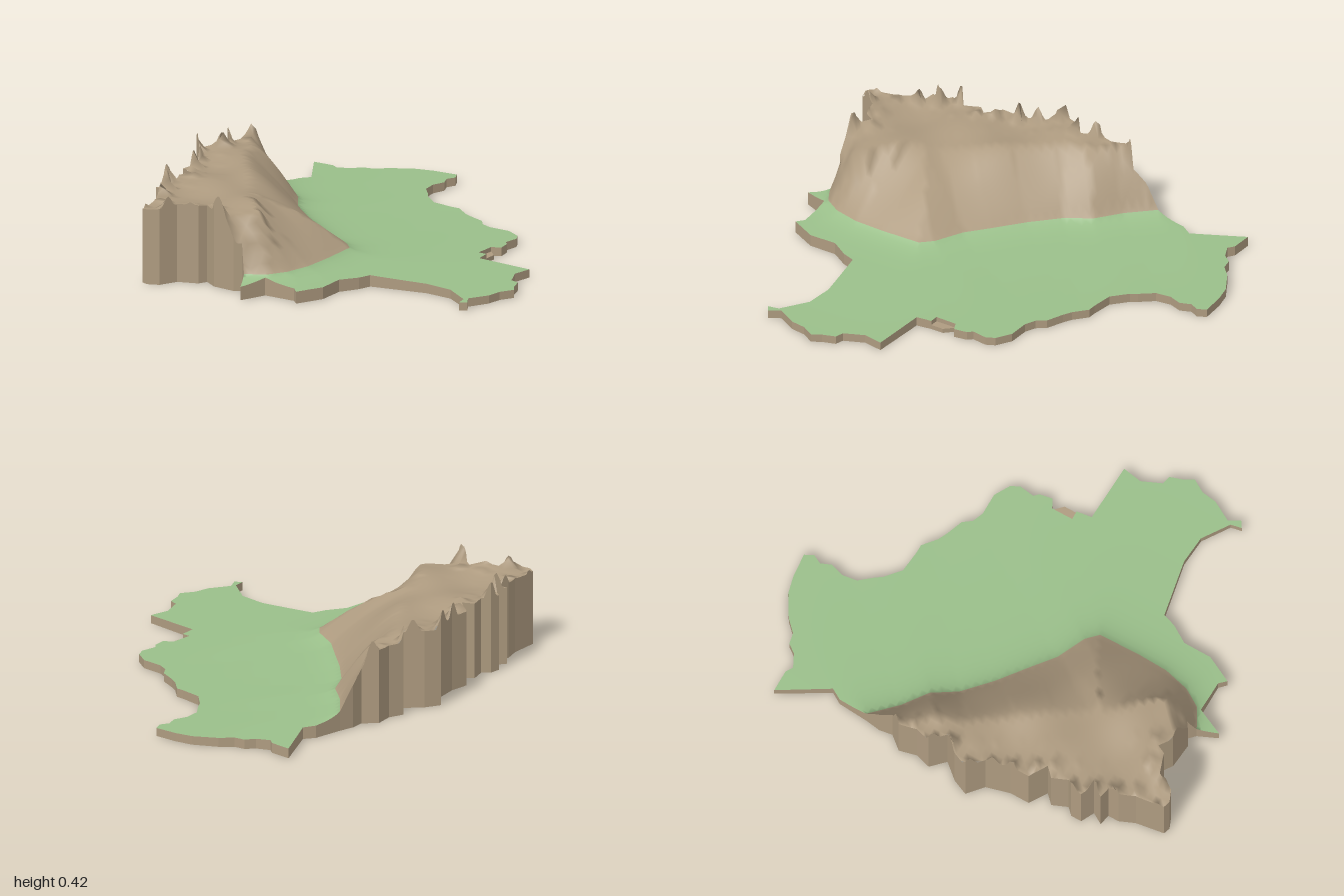
import * as THREE from 'three';

// Outline on the ground as x, z pairs, clockwise from above
const pairs = (a) => Array.from({ length: a.length / 2 }, (_, i) => [a[2 * i], a[2 * i + 1]]);
const lowlandEdge = pairs([
  -0.79, -0.39, -0.78, -0.53, -0.75, -0.58, -0.88, -0.80, -0.78, -0.80, -0.75, -0.78, -0.69, -0.81,
  -0.66, -0.85, -0.61, -0.86, -0.56, -0.91, -0.46, -0.97, -0.38, -0.99, -0.27, -1.0, -0.25, -0.96,
  -0.27, -0.92, -0.25, -0.87, -0.27, -0.81, -0.26, -0.74, -0.21, -0.68, -0.19, -0.65, -0.12, -0.59,
  -0.02, -0.58, 0.02, -0.58, 0.08, -0.53, 0.12, -0.51, 0.20, -0.48, 0.23, -0.44, 0.28, -0.42,
  0.38, -0.42, 0.45, -0.38, 0.47, -0.34, 0.46, -0.27, 0.48, -0.25, 0.49, -0.19, 0.45, -0.17,
  0.45, -0.07, 0.49, -0.07, 0.50, 0, 0.765, 0.01, 0.75, 0.10, 0.79, 0.19, 0.83, 0.20,
  0.85, 0.26, 0.875, 0.30, 0.84, 0.36, 0.83, 0.43, 0.78, 0.52, 0.81, 0.57, 0.78, 0.59,
  0.77, 0.54, 0.65, 0.46, 0.52, 0.45, 0.26, 0.50, 0.24, 0.56, 0.19, 0.64, 0.19, 0.77,
  0.13, 0.89, 0.10, 0.86, -0.05, 0.86, -0.10, 0.98, -0.14, 0.89]);
const highlandEdge = pairs([
  -0.14, 0.89, -0.17, 0.86, -0.20, 0.88, -0.31, 0.87, -0.37, 0.83, -0.39, 0.87, -0.48, 0.90,
  -0.52, 0.98, -0.57, 1.0, -0.60, 0.99, -0.62, 0.86, -0.65, 0.79, -0.65, 0.74, -0.70, 0.73,
  -0.67, 0.68, -0.73, 0.65, -0.73, 0.60, -0.70, 0.57, -0.73, 0.50, -0.69, 0.46, -0.77, 0.41,
  -0.77, 0.32, -0.80, 0.21, -0.87, 0.15, -0.84, 0.08, -0.78, 0.01, -0.84, -0.05, -0.82, -0.12,
  -0.84, -0.20, -0.79, -0.26, -0.80, -0.32, -0.79, -0.39]);

// Foot of the mountains: x, z and the width of the slope above it
const foot = [
  [-0.79, -0.39, 0.16], [-0.68, -0.28, 0.17], [-0.57, -0.20, 0.2], [-0.50, -0.09, 0.23],
  [-0.38, 0.02, 0.27], [-0.25, 0.12, 0.32], [-0.15, 0.20, 0.36], [-0.02, 0.26, 0.4],
  [0.03, 0.31, 0.4], [0.035, 0.50, 0.39], [0.03, 0.64, 0.34], [0, 0.76, 0.25],
  [-0.05, 0.84, 0.17], [-0.10, 0.87, 0.13], [-0.14, 0.89, 0.12]];
const highSide = [...foot, [-0.14, 3], [-3, 3], [-3, -0.39]];

// Distance from a point to a path, with the interpolated third value
function nearest(path, x, z) {
  let best = [Infinity, 0];
  for (let i = 0; i + 1 < path.length; i++) {
    const [ax, az, aw = 0] = path[i], [bx, bz, bw = 0] = path[i + 1];
    const dx = bx - ax, dz = bz - az;
    const t = THREE.MathUtils.clamp(((x - ax) * dx + (z - az) * dz) / (dx * dx + dz * dz), 0, 1);
    const d = Math.hypot(x - ax - t * dx, z - az - t * dz);
    if (d < best[0]) best = [d, aw + t * (bw - aw)];
  }
  return best;
}

function inside(poly, x, z) {
  let odd = false;
  poly.forEach(([ax, az], i) => {
    const [bx, bz] = poly[(i + 1) % poly.length];
    if ((az > z) !== (bz > z) && x < ax + (z - az) / (bz - az) * (bx - ax)) odd = !odd;
  });
  return odd;
}

// Land height: flat plain, slope, rolling plateau and a jagged western rim
function height(x, z) {
  const [d, width] = nearest(foot, x, z);
  if (!inside(highSide, x, z)) return 0.028 + 0.034 * Math.exp(-d / 0.6) + 0.028 * Math.exp(-d / 0.05);
  const t = Math.min(1, d / width);
  const rim = Math.exp(-nearest(highlandEdge, x, z)[0] / 0.03);
  const spikes = Math.max(0, Math.sin(x * 31 + z * 19) * Math.sin(z * 47 - x * 15)) ** 1.5;
  const rolling = 0.007 * Math.sin(x * 15 + z * 9) + 0.006 * Math.sin(z * 19 - x * 8);
  return 0.09 + 0.24 * (1 - (1 - t) ** 1.3) + t * (rolling + rim * (0.012 + 0.08 * spikes));
}

// Split long edges so that walls and surface follow the same heights
function densify(path, step = 0.012) {
  const out = [];
  for (let i = 0; i + 1 < path.length; i++) {
    const [ax, az] = path[i], [bx, bz] = path[i + 1];
    const n = Math.ceil(Math.hypot(bx - ax, bz - az) / step);
    for (let k = 0; k < n; k++) out.push([ax + (bx - ax) * k / n, az + (bz - az) * k / n]);
  }
  return out;
}

// Keep the part of a polygon on one side of an axis line
function clip(poly, axis, value, sign) {
  const out = [];
  poly.forEach((a, i) => {
    const b = poly[(i + 1) % poly.length];
    const da = (a[axis] - value) * sign, db = (b[axis] - value) * sign;
    if (da >= 0) out.push(a);
    if ((da > 0 && db < 0) || (da < 0 && db > 0)) {
      const t = da / (da - db);
      out.push([a[0] + (b[0] - a[0]) * t, a[1] + (b[1] - a[1]) * t]);
    }
  });
  return out;
}

function triangles(poly) {
  const pts = poly.map(([x, z]) => new THREE.Vector2(x, z));
  return THREE.ShapeUtils.triangulateShape(pts, []).map((f) => f.map((i) => poly[i]));
}

function geometryFrom(position, normal) {
  const g = new THREE.BufferGeometry();
  g.setAttribute('position', new THREE.Float32BufferAttribute(position, 3));
  if (normal) g.setAttribute('normal', new THREE.Float32BufferAttribute(normal, 3));
  else g.computeVertexNormals();
  return g;
}

// Smooth land surface over a polygon, cut into small grid cells
function surface(poly) {
  const pos = [], nor = [], s = 0.03, e = 0.008;
  const n = new THREE.Vector3();
  for (let x = -0.9; x < 0.9; x += s) {
    const strip = clip(clip(poly, 0, x, 1), 0, x + s, -1);
    if (strip.length < 3) continue;
    for (let z = -1.02; z < 1.02; z += s) {
      const cell = clip(clip(strip, 1, z, 1), 1, z + s, -1);
      if (cell.length < 3) continue;
      for (const [a, b, c] of triangles(cell)) {
        const up = (b[1] - a[1]) * (c[0] - a[0]) - (b[0] - a[0]) * (c[1] - a[1]);
        if (Math.abs(up) < 1e-10) continue;
        for (const [px, pz] of up > 0 ? [a, b, c] : [a, c, b]) {
          pos.push(px, height(px, pz), pz);
          n.set(height(px - e, pz) - height(px + e, pz), 2 * e,
            height(px, pz - e) - height(px, pz + e)).normalize();
          nor.push(n.x, n.y, n.z);
        }
      }
    }
  }
  return geometryFrom(pos, nor);
}

export function createModel() {
  const green = new THREE.MeshStandardMaterial({ color: 0x9abf8a });
  green.name = 'lowland green';
  const brown = new THREE.MeshStandardMaterial({ color: 0xae9b80 });
  brown.name = 'earth brown';
  const group = new THREE.Group();
  group.name = 'reliefMap';
  const add = (name, geometry, material) => {
    const mesh = new THREE.Mesh(geometry, material);
    mesh.name = name;
    group.add(mesh);
  };

  const low = densify(lowlandEdge), high = densify(highlandEdge), line = densify(foot);
  const end = [-0.14, 0.89];
  add('lowland', surface([...low, end, ...line.slice(1).reverse()]), green);
  add('highland', surface([...line, ...high]), brown);

  // Side walls down to the base
  const outline = [...low, ...high], wall = [];
  outline.forEach(([ax, az], i) => {
    const [bx, bz] = outline[(i + 1) % outline.length];
    const ha = height(ax, az), hb = height(bx, bz);
    wall.push(ax, 0, az, bx, hb, bz, bx, 0, bz, ax, 0, az, ax, ha, az, bx, hb, bz);
  });
  add('sideWalls', geometryFrom(wall), brown);

  // Flat underside
  const base = [];
  for (const [a, b, c] of triangles([...lowlandEdge.slice(0, -1), ...highlandEdge.slice(0, -1)])) {
    const up = (b[1] - a[1]) * (c[0] - a[0]) - (b[0] - a[0]) * (c[1] - a[1]);
    for (const [x, z] of up < 0 ? [a, b, c] : [a, c, b]) base.push(x, 0, z);
  }
  add('underside', geometryFrom(base), brown);

  // Bare low ledge in the eastern notch
  const ledge = new THREE.Shape([[0.45, 0.17], [0.45, 0.07], [0.49, 0.07], [0.49, 0.13]]
    .map(([x, y]) => new THREE.Vector2(x, y)));
  const ledgeGeometry = new THREE.ExtrudeGeometry(ledge, { depth: 0.02, bevelEnabled: false });
  add('notchLedge', ledgeGeometry.rotateX(-Math.PI / 2), brown);
  return group;
}
